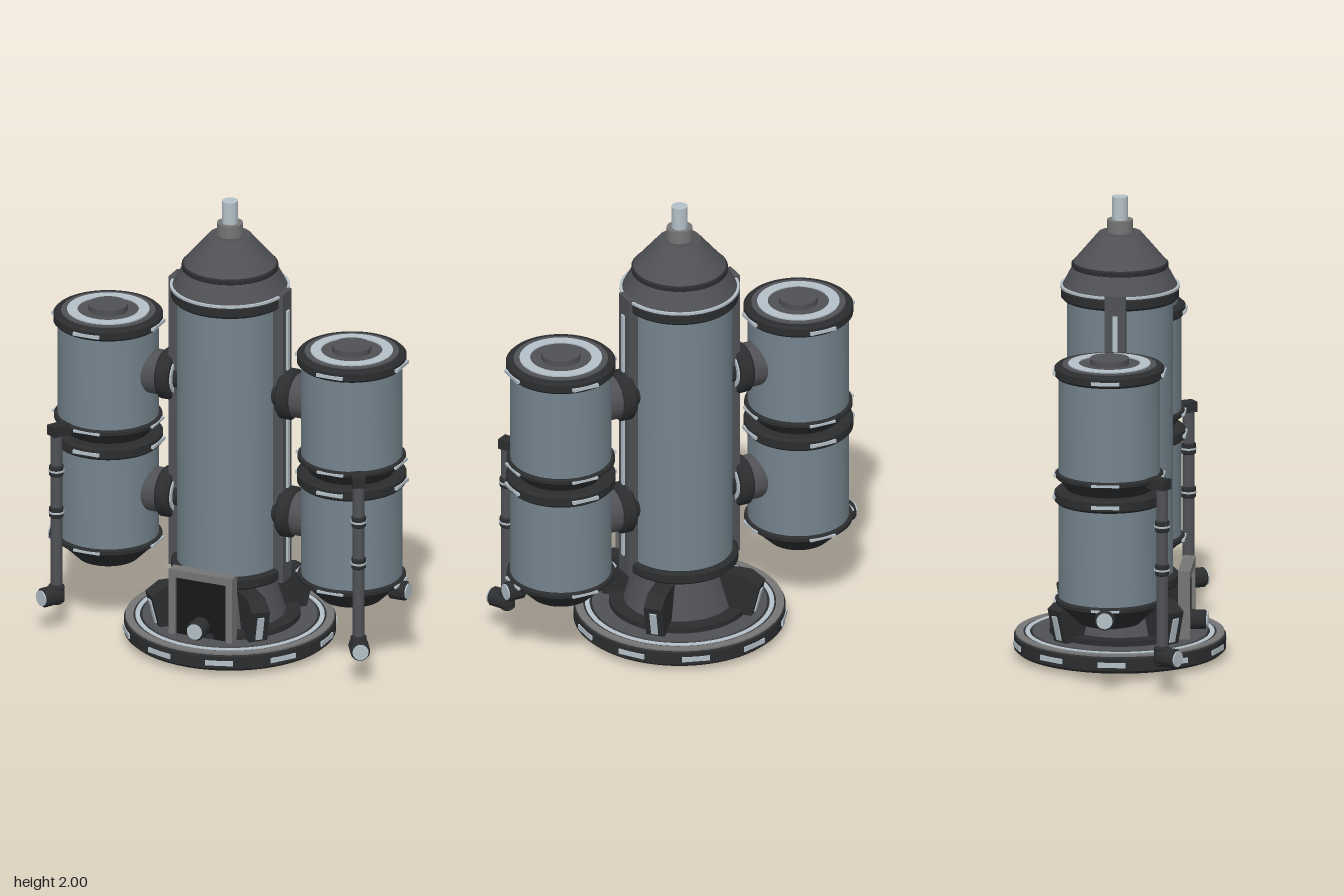
import * as THREE from 'three';
import { toCreasedNormals } from 'three/addons/utils/BufferGeometryUtils.js';

const mat = (color) => new THREE.MeshStandardMaterial({ color });
const BODY = mat(0x75848e), DARK = mat(0x2b2d2f), MID = mat(0x505155);
const GREY = mat(0x757575), LIGHT = mat(0xb4c0c8), BLACK = mat(0x17181a);

function add(parent, name, geometry, material, x = 0, y = 0, z = 0) {
  const mesh = new THREE.Mesh(geometry, material);
  mesh.name = name;
  mesh.position.set(x, y, z);
  parent.add(mesh);
  return mesh;
}

// Turned solid from [radius, height] pairs listed bottom to top
function turned(parent, name, material, profile, segments = 64) {
  const pts = profile.map(([r, y]) => new THREE.Vector2(r, y));
  return add(parent, name, toCreasedNormals(new THREE.LatheGeometry(pts, segments), 0.35), material);
}

const disc = (parent, name, material, r, y0, y1, r1 = r) =>
  turned(parent, name, material, [[0, y0], [r, y0], [r1, y1], [0, y1]]);

// Collar with chamfered edges
const band = (parent, name, material, r, y0, y1, c = 0.01) =>
  turned(parent, name, material, [[0, y0], [r - c, y0], [r, y0 + c], [r, y1 - c], [r - c, y1], [0, y1]]);

const flatRing = (parent, name, material, r0, r1, y0, y1) =>
  turned(parent, name, material, [[r0, y0], [r1, y0], [r1, y1], [r0, y1], [r0, y0]]);

// Light inset strips spaced around a rim
function strips(parent, count, r, y, width, height) {
  for (let i = 0; i < count; i++) {
    const a = (i / count) * Math.PI * 2;
    const s = add(parent, 'lightStrip', new THREE.BoxGeometry(0.016, height, width), LIGHT,
      Math.cos(a) * r, y, Math.sin(a) * r);
    s.rotation.y = -a;
  }
}

function buildBase() {
  const g = new THREE.Group();
  g.name = 'base';
  turned(g, 'baseDisc', DARK, [[0, 0.022], [0.435, 0.022], [0.45, 0.035], [0.45, 0.09], [0.44, 0.1], [0, 0.1]], 80);
  disc(g, 'undersidePlate', BLACK, 0.42, 0.018, 0.024);
  flatRing(g, 'outerRing', GREY, 0.41, 0.444, 0.09, 0.103);
  flatRing(g, 'lightRing', LIGHT, 0.382, 0.402, 0.09, 0.104);
  flatRing(g, 'innerRing', MID, 0.3, 0.372, 0.09, 0.106);
  strips(g, 10, 0.445, 0.061, 0.12, 0.022);
  disc(g, 'skirtFlange', DARK, 0.3, 0.1, 0.13);
  disc(g, 'skirt', MID, 0.24, 0.12, 0.32, 0.18);

  // Diagonal buttresses, each with a light strip and a pad underneath
  const shape = new THREE.Shape([[0.16, 0.09], [0.33, 0.09], [0.37, 0.25], [0.31, 0.29], [0.16, 0.29]]
    .map(([x, y]) => new THREE.Vector2(x, y)));
  const finGeo = new THREE.ExtrudeGeometry(shape, { depth: 0.08, bevelEnabled: false }).translate(0, 0, -0.04);
  for (let i = 0; i < 4; i++) {
    const fin = new THREE.Group();
    fin.name = 'buttress';
    fin.rotation.y = Math.PI / 4 + i * Math.PI / 2;
    add(fin, 'buttressBody', finGeo, DARK);
    add(fin, 'buttressStrip', new THREE.BoxGeometry(0.01, 0.11, 0.03), LIGHT, 0.351, 0.17, 0).rotation.z = -0.245;
    add(fin, 'basePad', new THREE.BoxGeometry(0.06, 0.025, 0.05), DARK, 0.25, 0.0125, 0);
    g.add(fin);
  }

  // Framed hatch at the front
  for (const s of [-1, 1])
    add(g, 'hatchPost', new THREE.BoxGeometry(0.03, 0.3, 0.052), GREY, s * 0.132, 0.25, 0.284);
  add(g, 'hatchLintel', new THREE.BoxGeometry(0.294, 0.035, 0.052), GREY, 0, 0.385, 0.284);
  add(g, 'hatchPanel', new THREE.BoxGeometry(0.24, 0.28, 0.03), BLACK, 0, 0.235, 0.28);
  const knob = knobGroup('hatchKnob', 0.065);
  knob.position.set(0, 0.16, 0.31);
  knob.rotation.x = Math.PI / 2;
  g.add(knob);
  return g;
}

// Dark stub with a light cap, pointing along its own y
function knobGroup(name, length) {
  const g = new THREE.Group();
  g.name = name;
  band(g, 'knobStub', DARK, 0.042, -0.015, length - 0.006, 0.008);
  disc(g, 'knobCap', LIGHT, 0.034, length - 0.01, length);
  return g;
}

function buildCore() {
  const g = new THREE.Group();
  g.name = 'core';
  disc(g, 'coreBody', BODY, 0.225, 0.34, 1.58);
  band(g, 'lowerCollar', DARK, 0.25, 0.31, 0.365);
  band(g, 'upperCollar', DARK, 0.25, 1.555, 1.61);
  disc(g, 'collarLip', LIGHT, 0.255, 1.608, 1.618);
  disc(g, 'noseLower', MID, 0.245, 1.615, 1.695, 0.203);
  band(g, 'noseBand', DARK, 0.205, 1.69, 1.718, 0.006);
  disc(g, 'noseUpper', MID, 0.2, 1.715, 1.845, 0.09);
  disc(g, 'noseCap', GREY, 0.055, 1.84, 1.9);
  disc(g, 'nosePin', LIGHT, 0.034, 1.9, 2.0);
  for (const s of [-1, 1]) {
    add(g, 'sideRail', new THREE.BoxGeometry(0.07, 1.32, 0.09), MID, s * 0.23, 0.965, 0);
    add(g, 'railStrip', new THREE.BoxGeometry(0.012, 1.15, 0.022), LIGHT, s * 0.268, 0.965, 0);
  }
  return g;
}

// Tank stack on its own axis; side is +1 (left) or -1 (right)
function buildTankStack(side) {
  const g = new THREE.Group();
  g.name = side > 0 ? 'leftTanks' : 'rightTanks';
  g.position.x = side * 0.565;

  disc(g, 'upperTank', BODY, 0.215, 0.93, 1.37);
  band(g, 'upperTankTopRim', DARK, 0.233, 1.35, 1.402);
  disc(g, 'tankTop', MID, 0.2, 1.4, 1.406);
  flatRing(g, 'tankTopRing', LIGHT, 0.13, 0.175, 1.4, 1.411);
  disc(g, 'tankTopCap', MID, 0.083, 1.4, 1.432);
  band(g, 'upperTankLowRim', DARK, 0.23, 0.912, 0.938, 0.006);
  disc(g, 'tankNeck', DARK, 0.17, 0.85, 0.915, 0.22);
  disc(g, 'lowerTank', BODY, 0.215, 0.38, 0.82);
  band(g, 'lowerTankTopRim', DARK, 0.233, 0.805, 0.862);
  band(g, 'lowerTankLowRim', DARK, 0.23, 0.365, 0.392, 0.006);
  disc(g, 'tankBottomCone', DARK, 0.13, 0.28, 0.37, 0.222);
  disc(g, 'tankBottomCap', MID, 0.075, 0.264, 0.285);
  strips(g, 4, 0.23, 1.372, 0.12, 0.014);
  strips(g, 4, 0.23, 0.832, 0.12, 0.014);
  strips(g, 4, 0.226, 0.925, 0.12, 0.01);
  strips(g, 4, 0.226, 0.378, 0.12, 0.01);

  // Round couplings reaching in to the core
  for (const y of [1.16, 0.62]) {
    const c = new THREE.Group();
    c.name = 'coupling';
    c.position.y = y;
    c.rotation.z = side * Math.PI / 2;
    band(c, 'couplingOuter', MID, 0.096, 0.16, 0.262, 0.012);
    band(c, 'couplingInner', DARK, 0.11, 0.255, 0.318, 0.012);
    disc(c, 'couplingRing', LIGHT, 0.08, 0.316, 0.324);
    disc(c, 'couplingShaft', DARK, 0.06, 0.3, 0.36);
    g.add(c);
  }

  // Side knob low on the outer face
  const knob = knobGroup('sideKnob', 0.07);
  knob.position.set(side * 0.195, 0.345, 0);
  knob.rotation.z = -side * Math.PI / 2;
  g.add(knob);

  // Drain pipe, placed radially toward the front outer corner
  const pipe = new THREE.Group();
  pipe.name = 'drainPipe';
  pipe.rotation.y = side > 0 ? -Math.PI / 3 : -2 * Math.PI / 3;
  add(pipe, 'pipeElbow', new THREE.BoxGeometry(0.09, 0.045, 0.055), DARK, 0.255, 0.918, 0);
  const run = new THREE.Group();
  run.name = 'pipeRun';
  run.position.x = 0.272;
  disc(run, 'pipe', MID, 0.025, 0.14, 0.938);
  for (const y of [0.735, 0.545]) {
    band(run, 'pipeJoint', DARK, 0.031, y - 0.025, y + 0.025, 0.005);
    disc(run, 'pipeRing', LIGHT, 0.034, y - 0.004, y + 0.004);
  }
  band(run, 'pipeFoot', DARK, 0.034, 0.125, 0.215, 0.01);
  pipe.add(run);
  const nozzle = knobGroup('pipeNozzle', 0.085);
  nozzle.position.set(0.27, 0.165, 0);
  nozzle.rotation.z = -Math.PI / 2;
  pipe.add(nozzle);
  g.add(pipe);
  return g;
}

export function createModel() {
  const model = new THREE.Group();
  model.name = 'tankTower';
  model.add(buildBase(), buildCore(), buildTankStack(1), buildTankStack(-1));
  return model;
}
